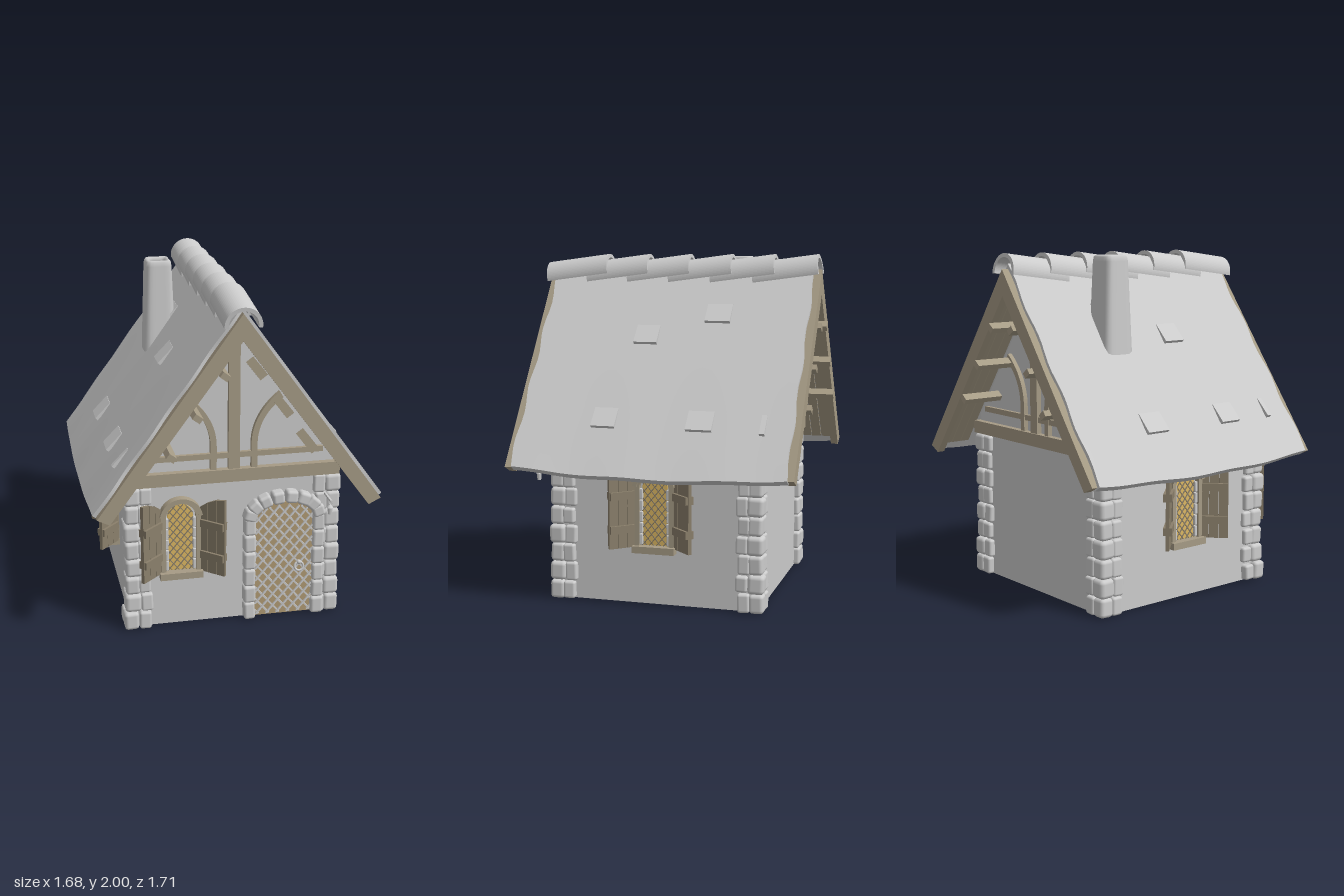
import * as THREE from 'three';
import { RoundedBoxGeometry } from 'three/addons/geometries/RoundedBoxGeometry.js';

const mat = (color) => new THREE.MeshStandardMaterial({ color, side: THREE.DoubleSide });
const GREY = mat(0xcccccc), WOOD = mat(0xa69b85), DARK = mat(0x8a7f6b), DOOR = mat(0xb09a74), GLASS = mat(0xdcb763);
let seed = 7;
const rnd = (a, b) => { seed = (seed * 16807) % 2147483647; return a + (b - a) * seed / 2147483647; };

function add(parent, name, geo, material, x = 0, y = 0, z = 0) {
  const m = new THREE.Mesh(geo, material);
  m.name = name;
  m.position.set(x, y, z);
  parent.add(m);
  return m;
}
function group(parent, name) {
  const g = new THREE.Group();
  g.name = name;
  parent.add(g);
  return g;
}
const box = (p, name, m, w, h, d, x, y, z) => add(p, name, new THREE.BoxGeometry(w, h, d), m, x, y, z);
function stone(p, w, h, d, x, y, z) {
  const geo = new RoundedBoxGeometry(w, h, d, 2, Math.min(w, h, d) * 0.25);
  const s = add(p, 'stone', geo, GREY, x, y, z);
  s.rotation.set(rnd(-0.04, 0.04), rnd(-0.05, 0.05), rnd(-0.04, 0.04));
  return s;
}
const polygon = (pts) => new THREE.Shape(pts.map(([x, y]) => new THREE.Vector2(x, y)));
const extrude = (shape, depth) => new THREE.ExtrudeGeometry(shape, { depth, bevelEnabled: false, curveSegments: 16 });

// Upright outline with an elliptical head
function archShape(hw, y0, spring, rise, Type = THREE.Shape) {
  const s = new Type();
  s.moveTo(-hw, y0);
  s.lineTo(hw, y0);
  s.lineTo(hw, spring);
  s.absellipse(0, spring, hw, rise, 0, Math.PI, false, 0);
  s.lineTo(-hw, y0);
  return s;
}

// Diagonal bars clipped to an arched opening
function lattice(p, material, hw, y0, spring, rise, step, r, z) {
  const g = group(p, 'lattice');
  const inside = (x, y) => Math.abs(x) <= hw && y >= y0 &&
    (y <= spring || (x / hw) ** 2 + ((y - spring) / rise) ** 2 <= 1);
  for (const k of [1.2, -1.2]) for (let c = y0 - 1; c < spring + 1; c += step) {
    const hit = [];
    for (let i = 0; i <= 120; i++) {
      const x = -hw + (2 * hw * i) / 120;
      if (inside(x, c + k * x)) hit.push(x);
    }
    if (hit.length < 4) continue;
    const a = hit[0], b = hit[hit.length - 1], len = (b - a) * Math.hypot(1, k);
    const bar = box(g, 'latticeBar', material, len, r * 2, r * 2, (a + b) / 2, c + k * (a + b) / 2, z + (k > 0 ? r : 0));
    bar.rotation.z = Math.atan(k);
  }
}

// Arched window with stone lining, sill and two open shutters; local z points out of the wall
function makeWindow(parent) {
  const w = group(parent, 'window');
  add(w, 'pane', extrude(archShape(0.075, 0.34, 0.68, 0.08), 0.008), GLASS);
  lattice(w, DARK, 0.075, 0.34, 0.68, 0.08, 0.05, 0.0025, 0.01);
  const frame = archShape(0.115, 0.33, 0.68, 0.115);
  frame.holes.push(archShape(0.088, 0.34, 0.68, 0.09, THREE.Path));
  add(w, 'windowFrame', extrude(frame, 0.035), WOOD);
  const hood = new THREE.Shape();
  hood.absarc(0, 0.68, 0.125, 0.15, Math.PI - 0.15, false);
  hood.absarc(0, 0.68, 0.1, Math.PI - 0.15, 0.15, true);
  add(w, 'windowHood', extrude(hood, 0.05), WOOD);
  box(w, 'windowSill', WOOD, 0.25, 0.04, 0.06, 0, 0.33, 0.03);
  for (const s of [-1, 1]) {
    for (let i = 0; i < 5; i++) stone(w, 0.02, 0.062, 0.025, s * 0.08, 0.385 + i * 0.066, 0.012);
    const side = group(w, 'shutterSide');
    side.scale.x = s;
    const sh = group(side, 'shutter');
    sh.position.set(0.115, 0, 0.012);
    sh.rotation.y = -0.75;
    for (let i = 0; i < 3; i++) {
      const x = i * 0.057, top = [0.735, 0.775, 0.8, 0.81];
      const plank = polygon([[x, 0.34], [x + 0.054, 0.34], [x + 0.054, top[i + 1]], [x, top[i]]]);
      add(sh, 'shutterPlank', extrude(plank, 0.02), DARK, 0, 0, -0.01);
    }
    for (const y of [0.45, 0.645]) box(sh, 'shutterBatten', DARK, 0.15, 0.045, 0.05, 0.09, y, 0);
  }
  return w;
}

function makeDoor(parent) {
  const d = group(parent, 'door');
  d.position.set(0.3, 0, 0.6);
  add(d, 'doorLeaf', extrude(archShape(0.18, 0.01, 0.64, 0.085), 0.02), DOOR);
  lattice(d, GREY, 0.17, 0.02, 0.64, 0.075, 0.075, 0.005, 0.024);
  const ring = add(d, 'doorRing', new THREE.TorusGeometry(0.026, 0.007, 8, 20), GREY, 0.09, 0.32, 0.045);
  ring.rotation.x = -0.2;
  add(d, 'doorBoss', new THREE.SphereGeometry(0.014, 12, 8), GREY, 0.09, 0.345, 0.04);
  for (const s of [-1, 1]) for (let i = 0; i < 6; i++)
    stone(d, 0.07 + rnd(-0.006, 0.008), 0.108, 0.075, s * 0.205, 0.055 + i * 0.108, 0.018);
  for (let i = 0; i < 8; i++) {
    const a = Math.PI * (i + 0.5) / 8, x = 0.205 * Math.cos(a), y = 0.64 + 0.125 * Math.sin(a);
    stone(d, 0.075, 0.072, 0.08, x, y, 0.02).rotation.z = Math.atan2(Math.sin(a) / 0.125, Math.cos(a) / 0.205);
  }
}

// Stacked corner stones with alternating side stones
function makeCorner(parent, sx, sz) {
  const g = group(parent, 'cornerStones');
  for (let i = 0; i < 8; i++) {
    const y = 0.055 + i * 0.11, e = (i === 0 ? 0.012 : 0) + rnd(-0.004, 0.006), odd = i % 2 ? 0.012 : 0;
    stone(g, 0.085 + odd, 0.11, 0.085 + odd, sx * (0.585 + e), y, sz * (0.585 + e));
    stone(g, 0.07, 0.1 + rnd(-0.01, 0.012), 0.06, sx * (0.52 - odd), y, sz * (0.598 + e));
    stone(g, 0.06, 0.1 + rnd(-0.01, 0.012), 0.07, sx * (0.598 + e), y, sz * (0.52 - odd));
  }
}

// Timber framing of one gable end, built facing +z
function makeGable(parent, turn) {
  const g = group(parent, 'gable');
  g.rotation.y = turn;
  box(g, 'tieBeam', WOOD, 1.24, 0.075, 0.05, 0, 0.922, 0.615);
  box(g, 'kingPost', WOOD, 0.065, 0.84, 0.04, 0, 1.36, 0.61);
  box(g, 'rail', WOOD, 1.04, 0.032, 0.035, 0, 1.04, 0.605);
  for (const s of [-1, 1]) {
    const side = group(g, 'gableSide');
    side.scale.x = s;
    const rafter = polygon([[0, 1.91], [0, 1.76], [0.735, 0.765], [0.805, 0.8]]);
    add(side, 'bargeBoard', extrude(rafter, 0.045), WOOD, 0, 0, 0.79);
    const brace = new THREE.Shape();
    brace.moveTo(0.1, 0.95);
    brace.lineTo(0.1, 1.1);
    brace.bezierCurveTo(0.1, 1.23, 0.17, 1.33, 0.26, 1.4);
    brace.lineTo(0.28, 1.365);
    brace.bezierCurveTo(0.2, 1.31, 0.135, 1.22, 0.135, 1.1);
    brace.lineTo(0.135, 0.95);
    add(side, 'curvedBrace', extrude(brace, 0.035), WOOD, 0, 0, 0.592);
    for (const [x, y] of [[0.1, 1.575], [0.25, 1.35], [0.395, 1.135]])
      box(side, 'purlin', WOOD, 0.05, 0.035, 0.26, x, y, 0.725).rotation.z = 0.64;
    // Boards under the overhang
    for (let i = 0; i < 3; i++) {
      const board = box(side, 'soffitBoard', WOOD, 1.26, 0.012, 0.058, 0.385, 1.325, 0.63 + i * 0.062);
      board.rotation.z = -Math.atan(1.373);
    }
  }
}

// Slightly sagging roof slab with uneven edges
function roofGeometry() {
  const geo = new THREE.BoxGeometry(1, 1, 1, 24, 1, 28), p = geo.attributes.position;
  for (let i = 0; i < p.count; i++) {
    const u = p.getX(i) + 0.5, t = 0.5 - p.getY(i), v = p.getZ(i) * 2;
    const bulge = (1 - v * v) * u ** 5, drop = t * 0.046;
    const edge = 0.795 + 0.009 * Math.sin(u * 23) * (v > 0 ? 1 : -0.8);
    p.setXYZ(i, u * 0.825 + bulge * 0.015 - drop * 0.808 * Math.min(1, u * 12),
      1.94 - u * 1.133 - bulge * 0.03 - drop * 0.589 - (u < 0.08 ? drop : 0) + 0.004 * Math.sin(v * 9) * u ** 4, v * edge);
  }
  geo.computeVertexNormals();
  return geo;
}

function makeRoof(parent) {
  const roof = group(parent, 'roof');
  const tabs = {
    '1': [[0.21, -0.27, 0.15], [0.3, 0.14, 0.14], [0.63, -0.27, 0.15], [0.63, 0.29, 0.14], [0.635, -0.63, 0.03]],
    '-1': [[0.21, -0.27, 0.15], [0.31, 0.14, 0.14], [0.64, -0.27, 0.15], [0.64, 0.29, 0.14], [0.64, 0.61, 0.03]],
  };
  const slab = roofGeometry();
  for (const s of [1, -1]) {
    const side = group(roof, 'roofSide');
    side.scale.x = s;
    add(side, 'roofSlab', slab, GREY);
    for (const [x, z, w] of tabs[s])
      box(side, 'raisedTile', GREY, 0.13, 0.02, w, x, 1.944 - 1.373 * x, z).rotation.z = -Math.atan(1.373) + 0.14;
  }
  // Overlapping half-round ridge tiles
  const arc = new THREE.Shape();
  arc.absarc(0, 0, 0.104, -0.12, Math.PI + 0.12, false);
  arc.absarc(0, 0, 0.082, Math.PI + 0.12, -0.12, true);
  const tile = new THREE.ExtrudeGeometry(arc, { depth: 0.39, bevelEnabled: false, curveSegments: 20 });
  tile.translate(0, 0, -0.195);
  for (let i = 0; i < 6; i++)
    add(roof, 'ridgeTile', tile, GREY, 0, 1.87, 0.65 - i * 0.257).rotation.x = 0.13;
}

// Hollow tapering chimney lofted from rounded squares
function makeChimney(parent) {
  const rings = [[0.108, 1.25], [0.097, 1.42], [0.078, 1.95], [0.074, 1.975], [0.066, 1.985], [0.052, 1.982], [0.046, 1.965], [0.046, 1.7], [0.001, 1.7]];
  const pos = [], idx = [], n = 32;
  rings.forEach(([r, y], j) => {
    for (let i = 0; i < n; i++) {
      const a = (i / n) * Math.PI * 2, c = Math.cos(a), s = Math.sin(a);
      const k = r / (Math.abs(c) ** 7 + Math.abs(s) ** 7) ** (1 / 7);
      pos.push(c * k, y, s * k);
      const a0 = j * n + i, b0 = j * n + (i + 1) % n;
      if (j < rings.length - 1) idx.push(a0, a0 + n, b0, b0, a0 + n, b0 + n);
    }
  });
  const geo = new THREE.BufferGeometry();
  geo.setAttribute('position', new THREE.Float32BufferAttribute(pos, 3));
  geo.setIndex(idx);
  geo.computeVertexNormals();
  add(parent, 'chimney', geo, GREY, -0.278, 0, -0.283);
}

function makeLantern(parent) {
  const g = group(parent, 'lantern');
  g.position.set(0.54, 0.7, 0.735);
  box(g, 'bracket', GREY, 0.012, 0.012, 0.13, 0, 0.065, -0.045);
  add(g, 'hook', new THREE.TorusGeometry(0.01, 0.003, 6, 12), GREY, 0, 0.048, 0);
  add(g, 'lanternCap', new THREE.ConeGeometry(0.02, 0.02, 6), GREY, 0, 0.03, 0);
  add(g, 'lanternBody', new THREE.CylinderGeometry(0.015, 0.012, 0.04, 6), GREY, 0, 0, 0);
}

export function createModel() {
  const house = new THREE.Group();
  house.name = 'cottage';
  const wall = polygon([[-0.6, 0.004], [0.6, 0.004], [0.6, 1.0], [0, 1.83], [-0.6, 1.0]]);
  add(house, 'walls', extrude(wall, 1.2), GREY, 0, 0, -0.6);
  box(house, 'floor', DARK, 1.17, 0.01, 1.17, 0, 0.005, 0);
  for (const sx of [-1, 1]) for (const sz of [-1, 1]) makeCorner(house, sx, sz);
  makeWindow(house).position.set(-0.308, 0, 0.6);
  for (const s of [-1, 1]) {
    const w = makeWindow(house);
    w.position.set(s * 0.6, 0, 0);
    w.rotation.y = s * Math.PI / 2;
  }
  makeDoor(house);
  makeGable(house, 0);
  makeGable(house, Math.PI);
  makeRoof(house);
  makeChimney(house);
  makeLantern(house);
  return house;
}
